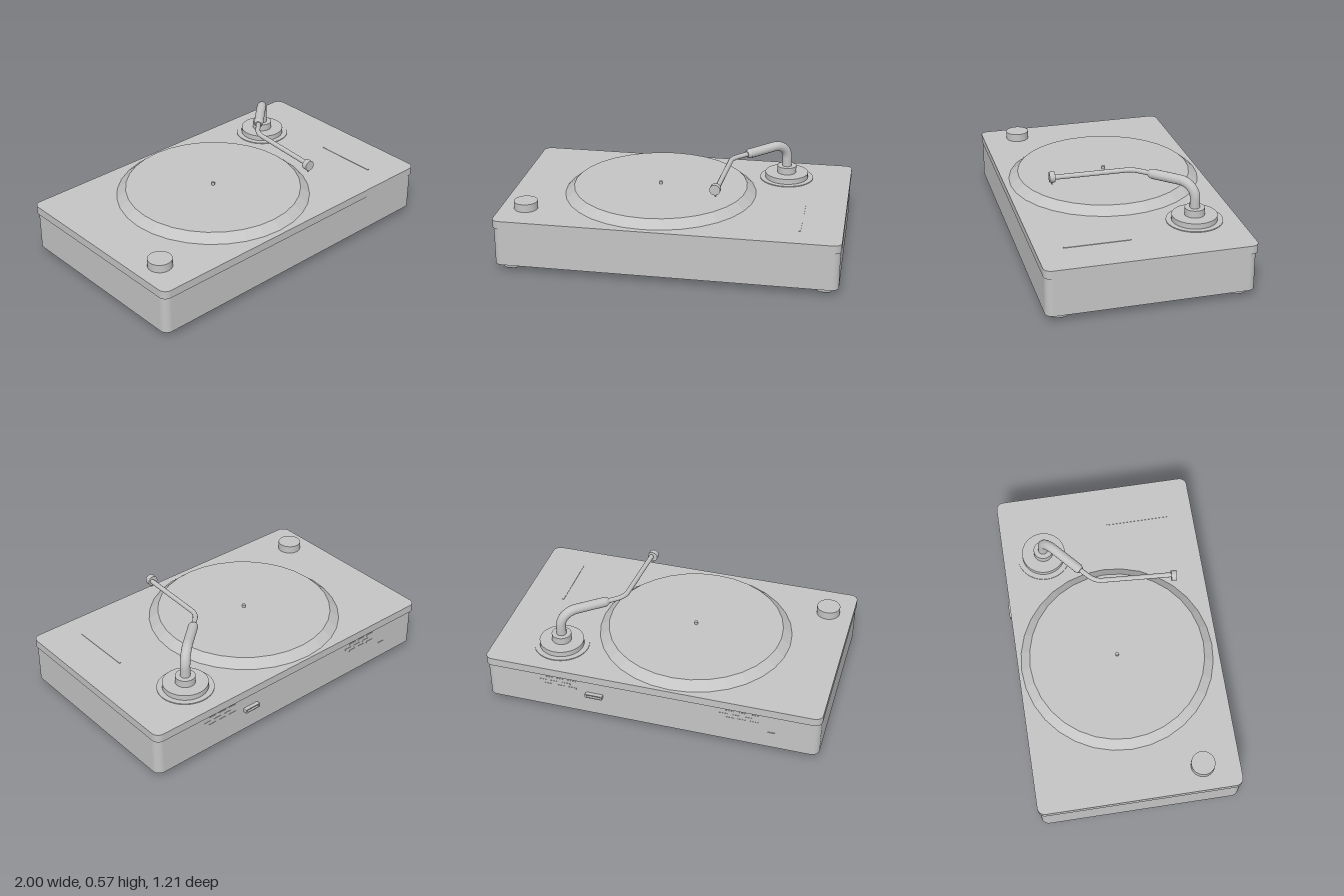
import * as THREE from 'three';

const grey = new THREE.MeshStandardMaterial({ color: 0xc4c4c4 });
grey.name = 'light grey';

const V = (x, y, z) => new THREE.Vector3(x, y, z);

export function createModel() {
  const model = new THREE.Group();
  model.name = 'turntable';

  const add = (name, geometry, x = 0, y = 0, z = 0) => {
    const mesh = new THREE.Mesh(geometry, grey);
    mesh.name = name;
    mesh.position.set(x, y, z);
    model.add(mesh);
    return mesh;
  };

  // Upright disc or cone standing between two heights
  const disc = (name, rTop, rBottom, y0, y1, x, z, sides = 32) =>
    add(name, new THREE.CylinderGeometry(rTop, rBottom, y1 - y0, sides), x, (y0 + y1) / 2, z);

  // Cylinder running between two points
  const rod = (name, a, b, rA, rB, sides = 20) => {
    const mesh = add(name, new THREE.CylinderGeometry(rB, rA, a.distanceTo(b), sides));
    mesh.position.copy(a).add(b).multiplyScalar(0.5);
    mesh.quaternion.setFromUnitVectors(V(0, 1, 0), b.clone().sub(a).normalize());
    return mesh;
  };

  const roundedRect = (w, d, r) => {
    const s = new THREE.Shape();
    const x = w / 2, y = d / 2;
    s.absarc(x - r, y - r, r, 0, Math.PI / 2);
    s.absarc(-x + r, y - r, r, Math.PI / 2, Math.PI);
    s.absarc(-x + r, -y + r, r, Math.PI, Math.PI * 1.5);
    s.absarc(x - r, -y + r, r, Math.PI * 1.5, Math.PI * 2);
    return s;
  };

  // Round-cornered slab lying flat, from y0 to y1
  const slab = (name, w, d, r, y0, y1, z) => {
    const g = new THREE.ExtrudeGeometry(roundedRect(w, d, r),
      { depth: y1 - y0, bevelEnabled: false, curveSegments: 6 });
    g.rotateX(-Math.PI / 2);
    return add(name, g, 0, y0, z);
  };

  // Plinth and deck
  slab('plinth', 1.99, 1.186, 0.045, 0.04, 0.268, 0.01);
  slab('deck', 2, 1.202, 0.045, 0.268, 0.317, 0.007);

  // Feet with rounded lower edges
  for (const x of [-0.912, 0.912]) {
    for (const z of [-0.5, 0.517]) {
      const g = new THREE.ExtrudeGeometry(roundedRect(0.06, 0.06, 0.012),
        { depth: 0.022, bevelThickness: 0.018, bevelSize: 0.018, bevelSegments: 3, curveSegments: 3 });
      g.rotateX(-Math.PI / 2);
      add('foot', g, x, 0.018, z);
    }
  }

  // Platter with bevelled rim, and its spindle
  const platter = disc('platter', 0.521, 0.575, 0.317, 0.363, -0.12, 0);
  platter.geometry = platter.geometry.toNonIndexed();
  platter.geometry.computeVertexNormals();
  disc('spindle', 0.01, 0.01, 0.363, 0.381, -0.12, 0, 16);

  // Control knob and slider track
  disc('knob', 0.07, 0.07, 0.317, 0.365, -0.85, 0.39);
  add('sliderTrack', new THREE.BoxGeometry(0.012, 0.004, 0.38), 0.755, 0.318, 0.26);

  // Tonearm base
  const px = 0.607, pz = -0.345;
  disc('baseRing', 0.163, 0.163, 0.317, 0.322, px, pz, 40);
  disc('baseDisc', 0.131, 0.131, 0.322, 0.354, px, pz, 40);
  disc('baseCollar', 0.058, 0.058, 0.354, 0.397, px, pz, 24);

  // Post bending into the thick arm
  const sleeveEnd = V(0.395, 0.532, -0.155);
  const along = V(sleeveEnd.x - px, 0, sleeveEnd.z - pz).normalize();
  const bendEnd = V(px, 0.54, pz).addScaledVector(along, 0.1);
  const post = new THREE.CurvePath();
  post.add(new THREE.LineCurve3(V(px, 0.39, pz), V(px, 0.45, pz)));
  post.add(new THREE.CubicBezierCurve3(V(px, 0.45, pz), V(px, 0.505, pz),
    V(px, 0.54, pz).addScaledVector(along, 0.045), bendEnd));
  post.add(new THREE.LineCurve3(bendEnd, sleeveEnd));
  add('armPost', new THREE.TubeGeometry(post, 48, 0.029, 16));
  const tip = sleeveEnd.clone().addScaledVector(along, 0.02);
  rod('armSleeveEnd', sleeveEnd, tip, 0.029, 0.02, 16);

  // Slim arm tube with a gentle bend
  const a = V(0.345, 0.53, -0.108), b = V(0.299, 0.528, -0.03), headStart = V(0.275, 0.52, 0.39);
  const arm = new THREE.CurvePath();
  arm.add(new THREE.LineCurve3(sleeveEnd, a));
  arm.add(new THREE.QuadraticBezierCurve3(a, V(0.304, 0.529, -0.072), b));
  arm.add(new THREE.LineCurve3(b, headStart));
  add('armTube', new THREE.TubeGeometry(arm, 48, 0.0145, 12));

  // Head and stylus
  rod('head', V(0.269, 0.52, 0.386), V(0.267, 0.52, 0.418), 0.031, 0.031, 20);
  rod('stylus', V(0.267, 0.495, 0.402), V(0.271, 0.475, 0.402), 0.007, 0.005, 10);

  // Rear vents: staggered rows of short slats
  const back = -0.583;
  for (const cx of [0.555, -0.53]) {
    for (let row = 0; row < 3; row++) {
      for (let col = 0; col < 3; col++) {
        const x = cx + (col - 1) * 0.072 + (row % 2 ? 0.018 : -0.018);
        add('ventSlat', new THREE.BoxGeometry(0.05, 0.01, 0.004), x, 0.2 + row * 0.024, back);
      }
    }
  }

  // Rear socket: hollow frame
  const frame = roundedRect(0.104, 0.025, 0.004);
  const hole = new THREE.Path(roundedRect(0.084, 0.013, 0.003).getPoints(4));
  frame.holes.push(hole);
  add('rearSocket', new THREE.ExtrudeGeometry(frame,
    { depth: 0.024, bevelEnabled: false, curveSegments: 3 }), 0.33, 0.178, -0.606);

  // Small triangular rear marker
  const triangle = new THREE.Shape([
    new THREE.Vector2(-0.022, 0.01), new THREE.Vector2(0, -0.01), new THREE.Vector2(0.022, 0.01)]);
  add('rearMarker', new THREE.ExtrudeGeometry(triangle,
    { depth: 0.006, bevelEnabled: false }), -0.72, 0.14, -0.588);

  return model;
}
